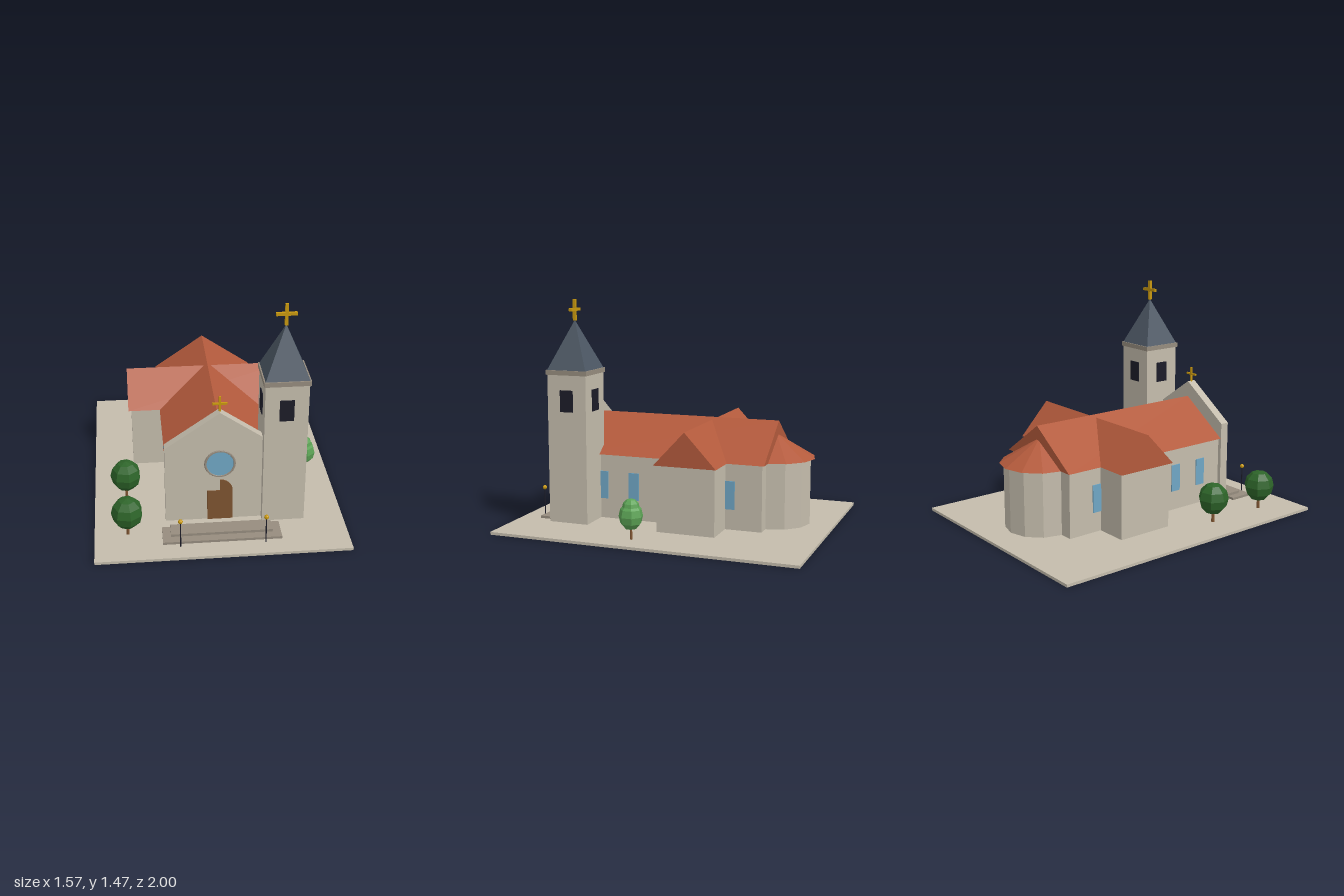
import * as THREE from 'three';

const mat = (name, color, flatShading = true) => {
  const m = new THREE.MeshStandardMaterial({ color, flatShading });
  m.name = name;
  return m;
};

export function createModel() {
  const stone = mat('pale stone', 0xc4bcac);
  const trim = mat('grey trim stone', 0x968c7e);
  const tile = mat('roof tile', 0xb35a3c);
  const slate = mat('slate', 0x4d5864);
  const gold = mat('gold', 0xc8980f);
  const glass = mat('window glass', 0x6fa6c4);
  const dark = mat('dark iron', 0x1c1c28);
  const wood = mat('brown wood', 0x7d5330);
  const darkLeaf = mat('dark leaves', 0x2d6429);
  const lightLeaf = mat('light leaves', 0x5ca355);

  const model = new THREE.Group();
  model.name = 'church';

  const add = (name, geometry, material, x = 0, y = 0, z = 0, parent = model) => {
    const mesh = new THREE.Mesh(geometry, material);
    mesh.name = name;
    mesh.position.set(x, y, z);
    parent.add(mesh);
    return mesh;
  };
  // Box given by its lower and upper limits on each axis
  const block = (name, material, [x0, x1], [y0, y1], [z0, z1], parent) =>
    add(name, new THREE.BoxGeometry(x1 - x0, y1 - y0, z1 - z0), material,
      (x0 + x1) / 2, (y0 + y1) / 2, (z0 + z1) / 2, parent);
  // Outline in x and y, extruded along z and centred there
  const extrude = (shape, depth) =>
    new THREE.ExtrudeGeometry(shape, { depth, bevelEnabled: false, curveSegments: 10 })
      .translate(0, 0, -depth / 2);
  const polygon = (points) => new THREE.Shape(points.map(([x, y]) => new THREE.Vector2(x, y)));
  const gable = (half, eaves, ridge, depth) =>
    extrude(polygon([[-half, eaves], [half, eaves], [0, ridge]]), depth);

  const base = 0.05, eaves = 0.472;

  // Ground and entrance steps
  block('ground', stone, [-0.787, 0.787], [0, 0.018], [-1, 1]);
  block('lowerStep', trim, [-0.368, 0.368], [0.018, 0.034], [0.705, 0.865]);
  block('upperStep', trim, [-0.316, 0.316], [0.034, 0.051], [0.705, 0.81]);

  // Nave and transept
  block('naveWalls', stone, [-0.315, 0.315], [base, eaves], [-0.64, 0.6]);
  add('naveRoof', gable(0.337, eaves, 0.705, 1.257), tile, 0, 0, -0.0285);
  const crossZ = -0.215;
  block('transeptWalls', stone, [-0.525, 0.525], [base, eaves], [crossZ - 0.188, crossZ + 0.188]);
  add('transeptRoof', gable(0.203, eaves, 0.689, 1.092), tile, 0, 0, crossZ).rotation.y = Math.PI / 2;

  // Rounded apse at the back
  add('apseWalls', new THREE.CylinderGeometry(0.228, 0.228, eaves - base, 12), stone,
    0, (eaves + base) / 2, -0.64);
  add('apseRoof', new THREE.ConeGeometry(0.254, 0.153, 12), tile, 0, eaves + 0.0765, -0.64);

  // Side windows
  for (const side of [-1, 1]) {
    for (const z of [0.43, 0.215, 0, -0.43]) {
      add('sideWindow', new THREE.BoxGeometry(0.008, 0.18, 0.07), glass, side * 0.317, 0.27, z);
    }
  }

  // Front wall rising above the roof
  add('frontWall', extrude(polygon([
    [-0.34, base], [0.34, base], [0.34, 0.575], [0, 0.81], [-0.34, 0.575],
  ]), 0.06), stone, 0, 0, 0.63);

  // Door with its half arch
  const door = new THREE.Shape();
  door.moveTo(-0.079, base);
  door.lineTo(0.079, base);
  door.lineTo(0.079, 0.26);
  door.absarc(0, 0.26, 0.079, 0, Math.PI / 2);
  door.lineTo(0, 0.26);
  door.lineTo(-0.079, 0.26);
  add('door', extrude(door, 0.008), wood, 0, 0, 0.662);

  // Round window
  add('roundWindow', new THREE.CylinderGeometry(0.087, 0.087, 0.008, 24), glass, 0, 0.455, 0.661)
    .rotation.x = Math.PI / 2;
  add('roundWindowFrame', new THREE.TorusGeometry(0.09, 0.008, 6, 24), trim, 0, 0.455, 0.662);

  // Bell tower
  const tower = new THREE.Group();
  tower.name = 'bellTower';
  tower.position.set(0.393, 0, 0.58);
  model.add(tower);
  add('towerWalls', new THREE.BoxGeometry(0.265, 0.95, 0.265), stone, 0, 0.525, 0, tower);
  add('towerCornice', new THREE.BoxGeometry(0.282, 0.03, 0.282), trim, 0, 1.015, 0, tower);
  add('spire', new THREE.ConeGeometry(0.133 * Math.SQRT2, 0.31, 4).rotateY(Math.PI / 4), slate,
    0, 1.185, 0, tower);
  for (let i = 0; i < 4; i++) {
    const opening = new THREE.BoxGeometry(0.088, 0.138, 0.009).translate(0, 0, 0.1345);
    add('bellOpening', opening, dark, 0, 0.836, 0, tower).rotation.y = i * Math.PI / 2;
  }

  // Crosses
  const cross = (name, x, y, z, height, span, thick, barY) => {
    const group = new THREE.Group();
    group.name = name;
    group.position.set(x, y, z);
    model.add(group);
    add('upright', new THREE.BoxGeometry(thick, height, thick), gold, 0, height / 2, 0, group);
    add('crossbar', new THREE.BoxGeometry(span, thick, thick), gold, 0, barY, 0, group);
  };
  cross('towerCross', 0.393, 1.335, 0.58, 0.135, 0.126, 0.019, 0.071);
  cross('frontCross', 0, 0.805, 0.63, 0.1, 0.09, 0.012, 0.053);

  // Trees, each with one or more leafy balls: [radius, height, centre y]
  const tree = (name, x, z, leaf, trunkRadius, balls) => {
    const group = new THREE.Group();
    group.name = name;
    group.position.set(x, 0, z);
    model.add(group);
    add('trunk', new THREE.CylinderGeometry(trunkRadius * 0.85, trunkRadius, 0.08, 6), wood,
      0, 0.058, 0, group);
    for (const [radius, height, y] of balls) {
      add('leaves', new THREE.SphereGeometry(radius, 7, 6).scale(1, height / radius / 2, 1), leaf,
        0, y, 0, group);
    }
  };
  for (const z of [0.31, 0.73]) tree('roundTree', -0.58, z, darkLeaf, 0.011, [[0.1, 0.21, 0.178]]);
  tree('tieredTree', 0.63, 0.1, lightLeaf, 0.009, [[0.077, 0.175, 0.165], [0.056, 0.12, 0.216]]);

  // Lamps beside the steps
  for (const side of [-1, 1]) {
    add('lampPost', new THREE.CylinderGeometry(0.004, 0.004, 0.18, 6), dark, side * 0.262, 0.108, 0.89);
    add('lampGlobe', new THREE.SphereGeometry(0.015, 8, 6), gold, side * 0.262, 0.202, 0.89);
  }

  return model;
}
